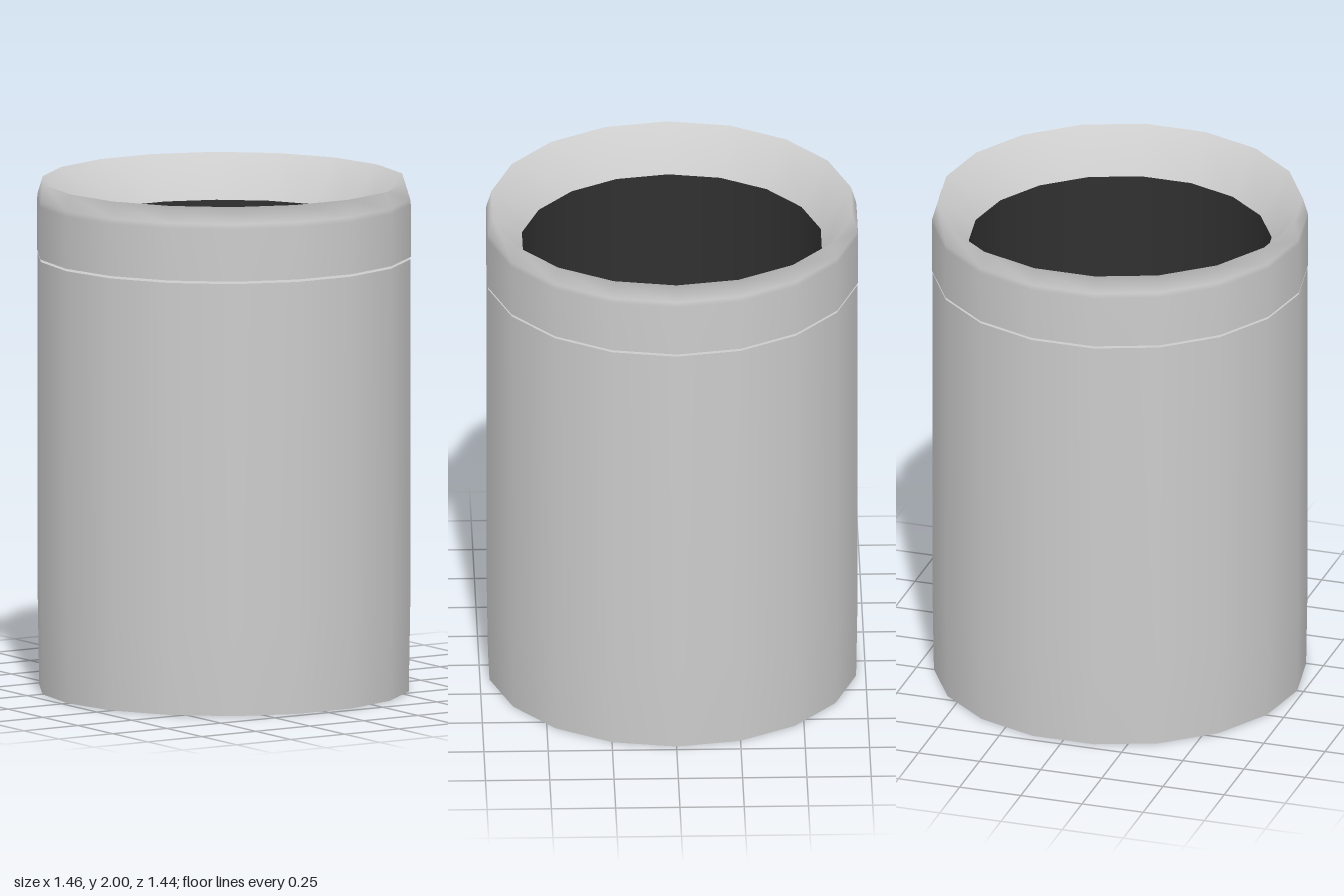
import * as THREE from 'three';

const SIDES = 18;
const grey = new THREE.MeshStandardMaterial({ color: 0xcccccc });
const dark = new THREE.MeshStandardMaterial({ color: 0x303030 });

// Each profile is one smooth band of revolution; separate bands meet at sharp edges.
function turned(name, material, profiles) {
  const group = new THREE.Group();
  group.name = name;
  for (const profile of profiles) {
    const points = profile.map(([r, y]) => new THREE.Vector2(r, y));
    // Start at 10 degrees so that corners fall on the x axis
    const geometry = new THREE.LatheGeometry(points, SIDES, Math.PI / 18);
    const mesh = new THREE.Mesh(geometry, material);
    mesh.name = name;
    group.add(mesh);
  }
  return group;
}

export function createModel() {
  const model = new THREE.Group();
  model.name = 'wasteBin';

  // Tall body, slightly narrower at the foot
  model.add(turned('body', grey, [
    [[0, 0], [0.724, 0]],
    [[0.724, 0], [0.73, 0.35], [0.73, 1.7]],
    [[0.73, 1.7], [0.62, 1.7]],
  ]));

  // Separate collar with a rounded rim and a funnel sloping into the opening
  model.add(turned('collar', grey, [
    [[0.62, 1.71], [0.732, 1.71]],
    [[0.732, 1.71], [0.732, 1.915], [0.73, 1.935], [0.71, 2], [0.59, 1.83]],
  ]));

  // Dark liner, showing in the opening and in the seam below the collar
  model.add(turned('liner', dark, [
    [[0.62, 0.05], [0.62, 1.83]],
    [[0.62, 1.83], [0.59, 1.83]],
    [[0.59, 1.83], [0.59, 0.06]],
    [[0.59, 0.06], [0, 0.06]],
  ]));

  return model;
}
